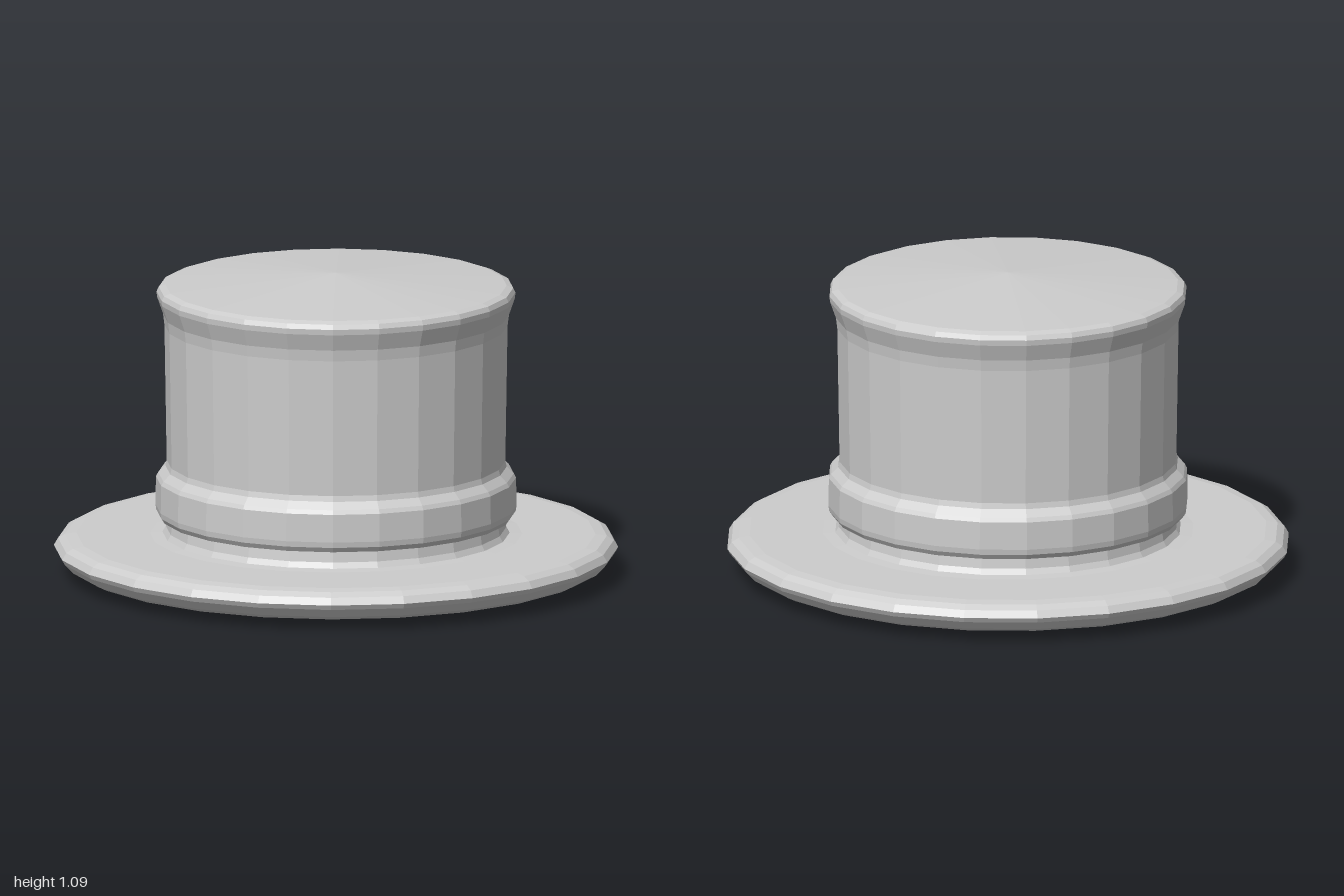
import * as THREE from 'three';

const SIDES = 24;

export function createModel() {
  const hat = new THREE.Group();
  hat.name = 'topHat';
  const felt = new THREE.MeshStandardMaterial({ color: 0xcccccc, flatShading: true });
  felt.name = 'grey felt';

  // Each part is a faceted turning of a [radius, height] profile, listed bottom to top
  const turn = (name, profile) => {
    const points = profile.map(([r, y]) => new THREE.Vector2(r, y));
    const mesh = new THREE.Mesh(new THREE.LatheGeometry(points, SIDES), felt);
    mesh.name = name;
    hat.add(mesh);
  };

  // Brim with a shallow conical underside and rounded rim
  turn('brim', [
    [0, 0], [0.93, 0.035], [0.96, 0.05], [0.99, 0.082], [1, 0.1],
    [0.985, 0.125], [0.96, 0.14], [0.92, 0.146], [0.66, 0.146], [0.615, 0.15],
  ]);

  // Neck between brim and band
  turn('neck', [[0.615, 0.15], [0.603, 0.17], [0.597, 0.21]]);

  // Raised hat band
  turn('band', [
    [0.597, 0.21], [0.625, 0.212], [0.637, 0.23], [0.64, 0.25],
    [0.638, 0.35], [0.63, 0.365], [0.605, 0.39], [0.6, 0.41],
  ]);

  // Crown wall, flaring at the top
  turn('crown', [
    [0.6, 0.41], [0.608, 0.9], [0.613, 0.94], [0.634, 1.0],
    [0.636, 1.02], [0.628, 1.037], [0.605, 1.046],
  ]);

  // Low conical top
  turn('crownTop', [[0.605, 1.046], [0, 1.09]]);

  return hat;
}
